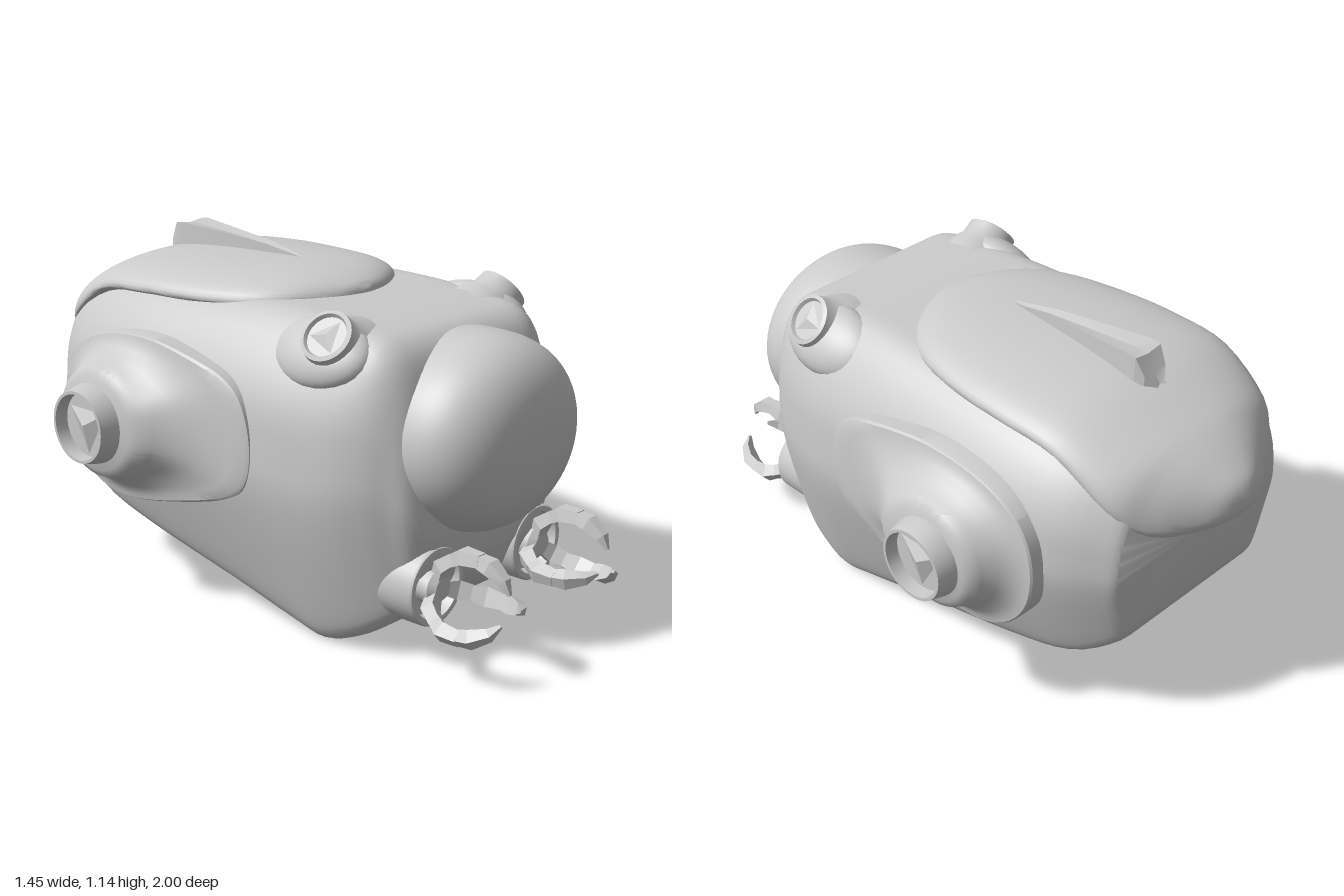
import * as THREE from 'three';
import { toCreasedNormals } from 'three/addons/utils/BufferGeometryUtils.js';

const V3 = (x, y, z) => new THREE.Vector3(x, y, z);
const material = new THREE.MeshStandardMaterial({ color: 0xcccccc });

// Closed quadratic B-spline through a control polygon of [x, y]
function smoothLoop(ctrl, k = 5) {
  const out = [], n = ctrl.length;
  for (let i = 0; i < n; i++) {
    const a = ctrl[(i + n - 1) % n], b = ctrl[i], c = ctrl[(i + 1) % n];
    for (let j = 0; j < k; j++) {
      const t = j / k;
      out.push([0, 1].map(d => (a[d] + b[d]) / 2 * (1 - t) ** 2 + b[d] * 2 * t * (1 - t) + (b[d] + c[d]) / 2 * t * t));
    }
  }
  return out;
}

// Catmull-Rom refinement of rows of numbers
function refine(rows, k) {
  const out = [], at = i => rows[Math.max(0, Math.min(rows.length - 1, i))];
  for (let i = 0; i < rows.length - 1; i++)
    for (let j = 0; j < k; j++) {
      const t = j / k;
      out.push(rows[i].map((p1, d) => {
        const p0 = at(i - 1)[d], p2 = at(i + 1)[d], p3 = at(i + 2)[d];
        return 0.5 * (2 * p1 + (p2 - p0) * t + (2 * p0 - 5 * p1 + 4 * p2 - p3) * t * t + (3 * p1 - p0 - 3 * p2 + p3) * t ** 3);
      }));
    }
  out.push(rows[rows.length - 1]);
  return out;
}

// Capped skin over counter-clockwise sections advancing along +z
function loft(sections, crease = 0.6) {
  const pos = [], idx = [], n = sections[0].length, last = sections.length - 1;
  sections.forEach(s => s.forEach(p => pos.push(p.x, p.y, p.z)));
  for (let i = 0; i < last; i++)
    for (let j = 0; j < n; j++) {
      const a = i * n + j, b = i * n + (j + 1) % n;
      idx.push(a, b, b + n, a, b + n, a + n);
    }
  [0, last].forEach(i => {
    const c = V3(0, 0, 0);
    sections[i].forEach(p => c.addScaledVector(p, 1 / n));
    pos.push(c.x, c.y, c.z);
    const ci = pos.length / 3 - 1;
    for (let j = 0; j < n; j++) {
      const a = i * n + j, b = i * n + (j + 1) % n;
      idx.push(ci, ...(i === 0 ? [b, a] : [a, b]));
    }
  });
  const g = new THREE.BufferGeometry();
  g.setAttribute('position', new THREE.Float32BufferAttribute(pos, 3));
  g.setIndex(idx);
  return toCreasedNormals(g, crease);
}

// Turned part whose axis is +z, profile as [radius, z]
function turned(profile, seg = 40) {
  const g = new THREE.LatheGeometry(profile.map(p => new THREE.Vector2(...p)), seg).rotateX(Math.PI / 2);
  return toCreasedNormals(g, 0.6);
}

function mirrored(geo) {
  const g = geo.index ? geo.toNonIndexed() : geo.clone();
  g.scale(-1, 1, 1);
  for (const name of ['position', 'normal']) {
    const a = g.attributes[name];
    for (let i = 0; i < a.count; i += 3) {
      const p = V3().fromBufferAttribute(a, i + 1), q = V3().fromBufferAttribute(a, i + 2);
      a.setXYZ(i + 1, q.x, q.y, q.z);
      a.setXYZ(i + 2, p.x, p.y, p.z);
    }
  }
  return g;
}

// Three-sided pyramid pointing along +z
const pyramid = (r, h, z) => toCreasedNormals(new THREE.ConeGeometry(r, h, 3).rotateX(Math.PI / 2).translate(0, 0, z + h / 2), 0.1);

export function createModel() {
  const model = new THREE.Group();
  const add = (name, geo) => {
    const m = new THREE.Mesh(geo, material);
    m.name = name;
    model.add(m);
  };
  const addPair = (name, geo) => {
    add('left' + name, geo);
    add('right' + name, mirrored(geo));
  };

  // Hull: z, bottom, top, half widths at bottom, middle and top
  const hullRows = refine([
    [-0.835, 0.40, 0.83, 0.28, 0.37, 0.28], [-0.80, 0.335, 0.88, 0.32, 0.40, 0.30], [-0.65, 0.235, 0.965, 0.36, 0.48, 0.33],
    [-0.4, 0.165, 1.01, 0.37, 0.52, 0.34], [0, 0.08, 1.02, 0.37, 0.525, 0.34], [0.25, 0.022, 1.02, 0.37, 0.52, 0.33],
    [0.38, 0, 1.01, 0.37, 0.505, 0.33], [0.5, 0.04, 1.0, 0.36, 0.48, 0.33], [0.59, 0.095, 0.975, 0.34, 0.44, 0.32],
    [0.65, 0.15, 0.90, 0.315, 0.395, 0.29], [0.70, 0.22, 0.72, 0.28, 0.35, 0.25], [0.73, 0.3, 0.5, 0.2, 0.28, 0.2],
  ], 4);
  add('hull', loft(hullRows.map(([z, b, t, wb, wm, wt]) => {
    const h = t - b;
    const half = [[wb - 0.08, b], [wb, b], [wb + 0.3 * (wm - wb), b + 0.1 * h], [wm, b + 0.45 * h],
      [wm, b + 0.6 * h], [wm - 0.015, b + 0.79 * h], [wt + 0.03, t], [wt - 0.12, t]];
    const loop = [...half, ...half.map(([x, y]) => [-x, y]).reverse()];
    return smoothLoop(loop).map(([x, y]) => V3(x, y, z));
  }), 0.75));

  // Front viewing dome
  const dome = [[1, -0.15]];
  for (let i = 0; i <= 20; i++) {
    const a = i / 20 * Math.PI / 2;
    dome.push([i === 20 ? 0 : Math.cos(a) ** 0.75, 0.26 * Math.sin(a) ** 0.75]);
  }
  add('frontDome', turned(dome, 56).scale(0.355, 0.307, 1).translate(0, 0.667, 0.645));

  // Top shell overhanging the stern: z, half width, lowest, top
  const shellRows = refine([
    [-1.0, 0.01, 0.79, 0.82], [-0.98, 0.09, 0.745, 0.865], [-0.93, 0.18, 0.71, 0.91], [-0.86, 0.29, 0.70, 0.96],
    [-0.78, 0.37, 0.79, 1.0], [-0.6, 0.40, 0.93, 1.065], [-0.4, 0.405, 0.955, 1.085], [-0.2, 0.39, 0.96, 1.09],
    [0, 0.34, 0.97, 1.09], [0.12, 0.25, 0.98, 1.08], [0.2, 0.12, 0.99, 1.055], [0.225, 0.02, 1.0, 1.03],
  ], 4);
  add('topShell', loft(shellRows.map(([z, w, b, t]) => {
    const edge = b + 0.3 * (t - b);
    return Array.from({ length: 48 }, (_, i) => {
      const a = i / 48 * Math.PI * 2, s = Math.sin(a), c = Math.cos(a);
      return V3(w * Math.sign(c) * Math.abs(c) ** 0.85, edge + s * (s > 0 ? t - edge : edge - b), z);
    });
  }), 0.8));

  // Tapered fin on the shell: z, half width, top
  add('fin', loft([[-0.66, 0.02, 1.05], [-0.635, 0.05, 1.085], [-0.605, 0.06, 1.14], [-0.57, 0.06, 1.145], [-0.4, 0.042, 1.132],
    [-0.22, 0.024, 1.117], [-0.05, 0.004, 1.088]]
    .map(([z, w, t]) => [V3(w * 1.05, 1.0, z), V3(w * 0.95, t, z), V3(0, t - 0.008, z), V3(-w * 0.95, t, z), V3(-w * 1.05, 1.0, z)]), 0.3));

  // Side pods: teardrop plate blending into a round housing, built along +z then turned to +x
  const cu = 0.34, cv = 0.615;
  const outline = smoothLoop([[0.655, 0.62], [0.62, 0.765], [0.50, 0.865], [0.25, 0.90], [0.05, 0.87], [-0.16, 0.82],
    [-0.225, 0.68], [-0.22, 0.52], [-0.14, 0.44], [0.1, 0.375], [0.32, 0.33], [0.50, 0.35], [0.625, 0.47]]);
  const podRings = [[0.42, 0, 0.18], [0.525, 0, 0.18], [0.532, 0.04, 0.18], [0.536, 0.2, 0.18], [0.55, 0.46, 0.18],
    [0.58, 0.68, 0.175], [0.62, 0.84, 0.172], [0.645, 0.91, 0.168], [0.66, 0.97, 0.15]];
  addPair('Pod', loft(podRings.map(([x, f, r]) => outline.map(([u, v]) => {
    const a = Math.atan2(v - cv, u - cu);
    return V3(THREE.MathUtils.lerp(u, cu + r * Math.cos(a), f), THREE.MathUtils.lerp(v, cv + r * Math.sin(a), f), x);
  }))).rotateY(Math.PI / 2));

  // Thruster nozzles on the pods
  const toSide = g => g.rotateY(Math.PI / 2).translate(0, cv, -cu - 0.005);
  addPair('Thruster', toSide(turned([[0.132, 0.62], [0.13, 0.67], [0.117, 0.725], [0.107, 0.725], [0.105, 0.68], [0, 0.68]])));
  addPair('ThrusterCore', toSide(pyramid(0.105, 0.025, 0.678)));

  // Lamps on the shoulders, with a faired base trailing backwards
  const aim = new THREE.Quaternion().setFromUnitVectors(V3(0, 0, 1), V3(0.76, 0.63, 0.12).normalize());
  const lamp = g => g.applyQuaternion(aim).translate(0.345, 0.935, 0.425);
  addPair('Lamp', lamp(turned([[0.13, -0.03], [0.108, 0.02], [0.09, 0.045], [0.083, 0.095], [0.07, 0.1], [0.064, 0.088], [0, 0.088]], 28)));
  addPair('LampCore', lamp(pyramid(0.063, 0.015, 0.087)));
  addPair('LampFairing', new THREE.SphereGeometry(1, 28, 18).scale(0.12, 0.072, 0.18).rotateZ(-0.85).translate(0.372, 0.925, 0.38));

  // Claw sockets and hubs
  const cx = 0.245, cy = 0.245;
  addPair('ClawSocket', turned([[0.128, 0.5], [0.125, 0.725], [0.12, 0.733], [0.103, 0.733], [0.098, 0.69], [0, 0.69]]).translate(cx, cy, 0));
  addPair('ClawHub', turned([[0.06, 0.68], [0.055, 0.735], [0.035, 0.755], [0, 0.755]], 12).translate(cx, cy, 0));

  // Three jointed fingers per claw: radius, z, half width, half thickness
  const segments = [
    [[0.03, 0.735, 0.022, 0.018], [0.075, 0.75, 0.03, 0.022], [0.112, 0.80, 0.024, 0.018]],
    [[0.10, 0.785, 0.022, 0.018], [0.128, 0.83, 0.031, 0.022], [0.13, 0.895, 0.024, 0.018]],
    [[0.13, 0.88, 0.022, 0.017], [0.122, 0.93, 0.029, 0.02], [0.088, 0.98, 0.019, 0.014], [0.05, 1.0, 0.006, 0.004]],
  ];
  const fingerAngles = [90, 198, -42];
  fingerAngles.forEach((deg, f) => segments.forEach((path, s) => {
    const sections = path.map(([r, z, w, t], i) => {
      const p = path[Math.max(0, i - 1)], q = path[Math.min(path.length - 1, i + 1)];
      const len = Math.hypot(q[0] - p[0], q[1] - p[1]);
      const ny = (q[1] - p[1]) / len, nz = -(q[0] - p[0]) / len;
      return [[w, -t], [w * 0.7, t], [-w * 0.7, t], [-w, -t]].map(([x, k]) => V3(x, r + k * ny, z + k * nz));
    });
    const geo = loft(sections, 0.2).rotateZ(THREE.MathUtils.degToRad(deg - 90)).translate(cx, cy, 0);
    addPair(`ClawFinger${f + 1}Segment${s + 1}`, geo);
  }));

  return model;
}
